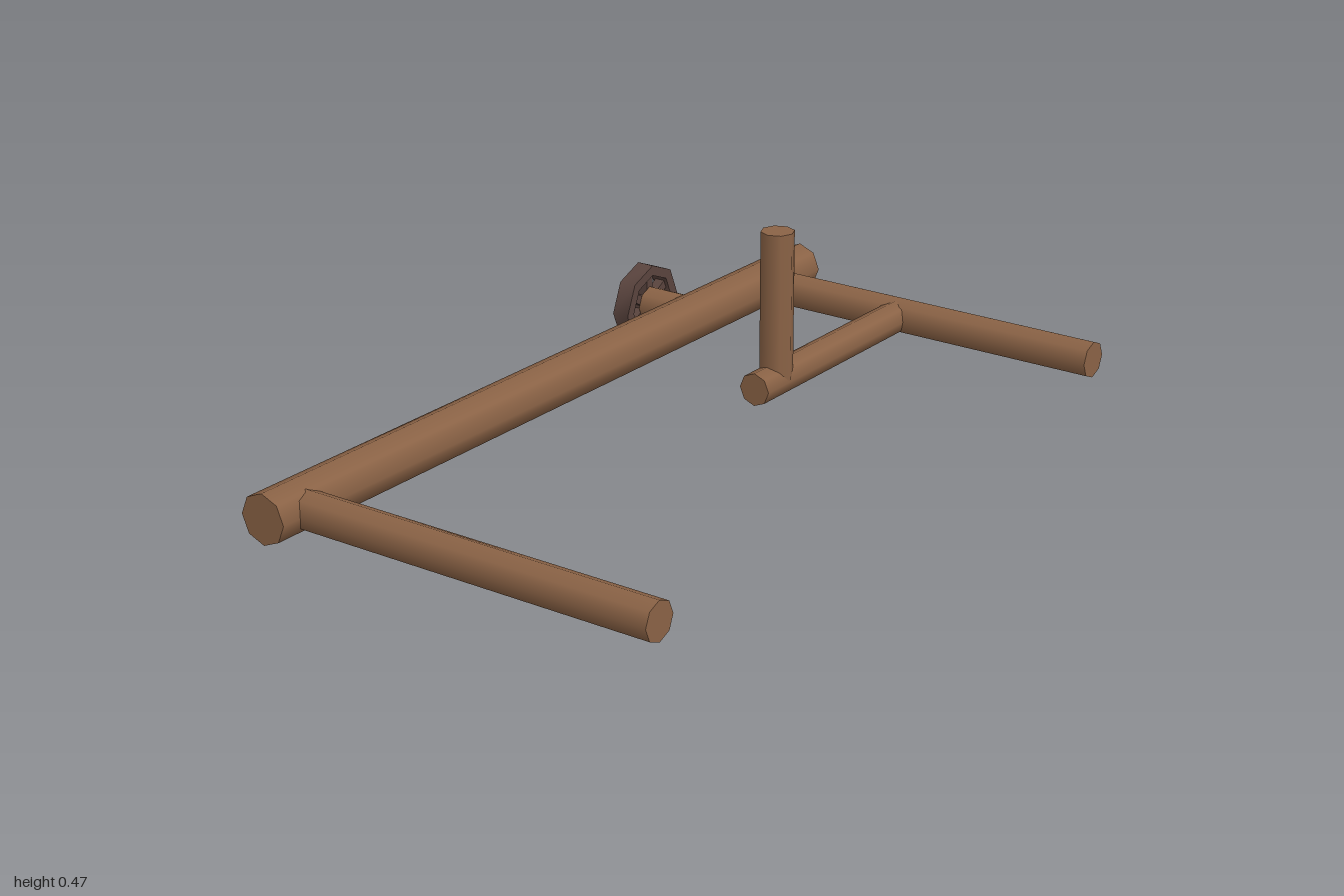
import * as THREE from 'three';
import { toCreasedNormals } from 'three/addons/utils/BufferGeometryUtils.js';

export function createModel() {
  const model = new THREE.Group();
  model.name = 'pipework';
  const copper = new THREE.MeshStandardMaterial({ color: 0x8b6346 });
  copper.name = 'copper brown';
  const iron = new THREE.MeshStandardMaterial({ color: 0x5a443e });
  iron.name = 'dark iron';

  const Y = 0.108; // height of the horizontal pipe axes

  // Eight-sided pipe along one axis, from a centre point with a given length
  function pipe(name, axis, radius, length, x, y, z, parent = model, material = copper) {
    const geometry = new THREE.CylinderGeometry(radius, radius, length, 8);
    if (axis === 'x') geometry.rotateZ(Math.PI / 2);
    if (axis === 'z') geometry.rotateX(Math.PI / 2);
    const mesh = new THREE.Mesh(geometry, material);
    mesh.name = name;
    mesh.position.set(x, y, z);
    parent.add(mesh);
  }

  // Main pipe and its two side branches
  pipe('mainPipe', 'z', 0.059, 2, -0.388, Y, 0);
  pipe('backBranch', 'x', 0.045, 0.948, 0.088, Y, -0.83);
  pipe('frontBranch', 'x', 0.045, 0.948, 0.088, Y, 0.905);

  // Secondary run off the back branch, with a riser
  pipe('innerPipe', 'z', 0.04, 0.63, 0.02, Y, -0.515);
  pipe('riser', 'y', 0.04, 0.362, 0.02, 0.289, -0.29);

  // Valve stem
  pipe('valveStem', 'x', 0.045, 0.14, -0.458, Y, -0.535);

  // Valve wheel: octagonal rim, hub and spokes, turning about x
  const wheel = new THREE.Group();
  wheel.name = 'valveWheel';
  wheel.position.set(-0.541, 0.105, -0.535);
  const h = 0.0225;
  const profile = [[0.079, -h], [0.105, -h], [0.105, h], [0.079, h], [0.079, -h]];
  const rimGeometry = toCreasedNormals(
    new THREE.LatheGeometry(profile.map(([r, y]) => new THREE.Vector2(r, y)), 8), 0.9);
  rimGeometry.rotateZ(Math.PI / 2);
  const rim = new THREE.Mesh(rimGeometry, iron);
  rim.name = 'wheelRim';
  wheel.add(rim);
  pipe('wheelHub', 'x', 0.03, 0.04, 0, 0, 0, wheel, iron);
  for (let i = 0; i < 6; i++) {
    const geometry = new THREE.BoxGeometry(0.026, 0.085, 0.022);
    geometry.translate(0, 0.0425, 0);
    const spoke = new THREE.Mesh(geometry, iron);
    spoke.name = 'wheelSpoke' + (i + 1);
    spoke.rotation.x = i * Math.PI / 3;
    wheel.add(spoke);
  }
  model.add(wheel);

  return model;
}
